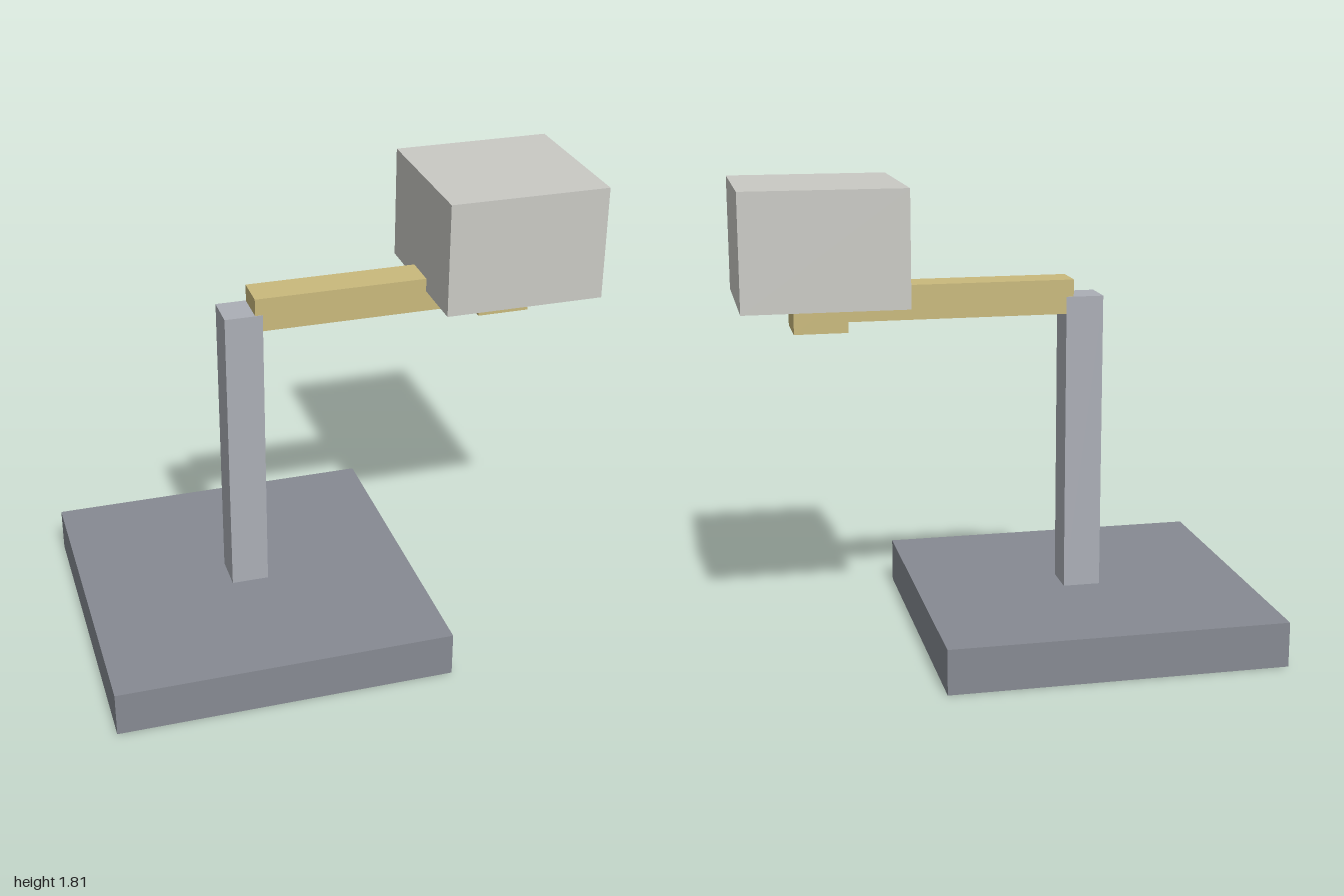
import * as THREE from 'three';

const material = (name, color) => {
  const m = new THREE.MeshStandardMaterial({ color });
  m.name = name;
  return m;
};

export function createModel() {
  const lamp = new THREE.Group();
  lamp.name = 'lamp';

  const darkGrey = material('dark grey', 0x868a92);
  const lightGrey = material('light grey', 0xabaeb6);
  const brass = material('brass', 0xc9b97c);
  const offWhite = material('off white', 0xc9c9c4);

  // Box from its x and y extents, with depth centred on z = 0
  const addBox = (name, mat, x0, x1, y0, y1, depth) => {
    const mesh = new THREE.Mesh(new THREE.BoxGeometry(x1 - x0, y1 - y0, depth), mat);
    mesh.name = name;
    mesh.position.set((x0 + x1) / 2, (y0 + y1) / 2, 0);
    lamp.add(mesh);
  };

  addBox('base', darkGrey, -1, 0.32, 0, 0.177, 1.32);
  addBox('post', lightGrey, -0.413, -0.266, 0.17, 1.355, 0.148);
  // The arm overlaps the post top and runs into the socket
  addBox('arm', brass, -0.295, 0.69, 1.288, 1.422, 0.142);
  addBox('socket', brass, 0.587, 0.792, 1.253, 1.4, 0.206);
  addBox('shade', offWhite, 0.38, 1, 1.37, 1.812, 0.62);

  return lamp;
}
